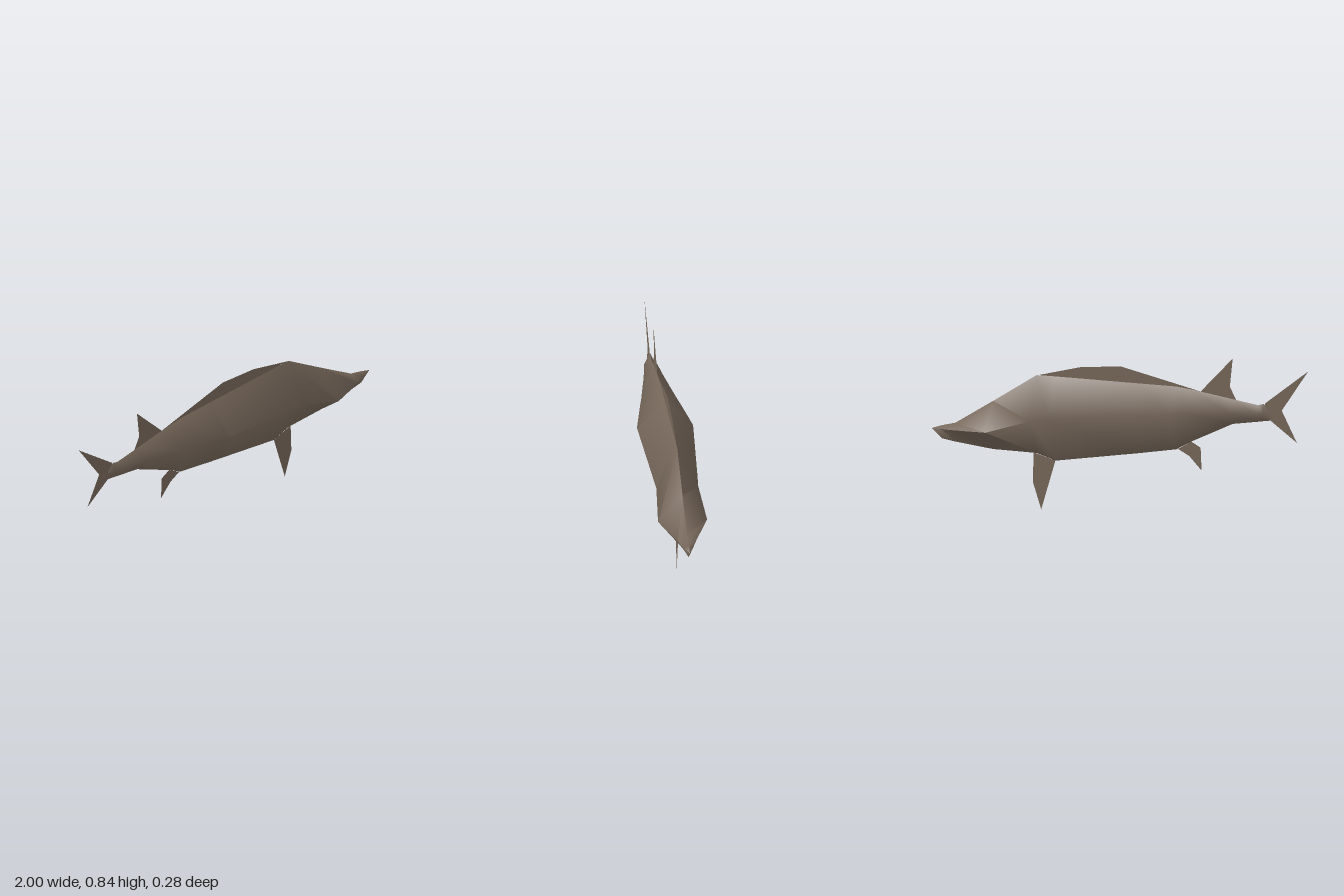
import * as THREE from 'three';
import { toCreasedNormals } from 'three/addons/utils/BufferGeometryUtils.js';

const skin = new THREE.MeshStandardMaterial({ color: 0x76675a, side: THREE.DoubleSide });
skin.name = 'brown skin';

// Diamond cross-sections from tail to snout: x, ridge y, keel y, flank y, half width
const SECTIONS = [
  [-0.80, 0.58, 0.535, 0.56, 0],
  [-0.765, 0.618, 0.53, 0.572, 0.02],
  [-0.735, 0.61, 0.525, 0.57, 0.033],
  [-0.60, 0.632, 0.505, 0.57, 0.05],
  [-0.38, 0.668, 0.40, 0.56, 0.088],
  [-0.30, 0.677, 0.355, 0.555, 0.104],
  [-0.10, 0.68, 0.322, 0.54, 0.142],
  [0.34, 0.687, 0.255, 0.485, 0.113],
  [0.44, 0.687, 0.288, 0.47, 0.106],
  [0.67, 0.54, 0.293, 0.40, 0.124],
  [0.87, 0.415, 0.318, 0.385, 0.046],
  [0.94, 0.398, 0.33, 0.382, 0.022],
  [0.995, 0.38, 0.38, 0.38, 0],
];

function bodyGeometry() {
  const positions = [], index = [];
  for (const [x, top, bottom, side, w] of SECTIONS) {
    positions.push(x, top, 0, x, side, w, x, bottom, 0, x, side, -w);
  }
  for (let i = 0; i < SECTIONS.length - 1; i++) {
    for (let j = 0; j < 4; j++) {
      const a = i * 4 + j, b = i * 4 + (j + 1) % 4;
      index.push(a, b, b + 4, a, b + 4, a + 4);
    }
  }
  const g = new THREE.BufferGeometry();
  g.setAttribute('position', new THREE.Float32BufferAttribute(positions, 3));
  g.setIndex(index);
  return toCreasedNormals(g, 1.4);
}

// Flat fin outlines on the centre plane
const FINS = {
  tailFin: [[-0.77, 0.62], [-1, 0.8], [-0.86, 0.59], [-0.94, 0.43], [-0.8, 0.535], [-0.78, 0.57]],
  rearDorsalFin: [[-0.62, 0.625], [-0.585, 0.695], [-0.6, 0.84], [-0.43, 0.66]],
  dorsalFin: [[-0.43, 0.66], [-0.2, 0.715], [-0.01, 0.76], [0.2, 0.745], [0.43, 0.688], [0, 0.68]],
  rearBellyFin: [[-0.38, 0.4], [-0.43, 0.372], [-0.435, 0.255], [-0.37, 0.325], [-0.31, 0.358]],
  frontBellyFin: [[0.34, 0.255], [0.415, 0], [0.46, 0.14], [0.455, 0.29]],
};

export function createModel() {
  const model = new THREE.Group();
  model.name = 'fish';

  const body = new THREE.Mesh(bodyGeometry(), skin);
  body.name = 'body';
  model.add(body);

  for (const [name, outline] of Object.entries(FINS)) {
    const shape = new THREE.Shape(outline.map(([x, y]) => new THREE.Vector2(x, y)));
    const fin = new THREE.Mesh(new THREE.ShapeGeometry(shape), skin);
    fin.name = name;
    model.add(fin);
  }
  return model;
}
